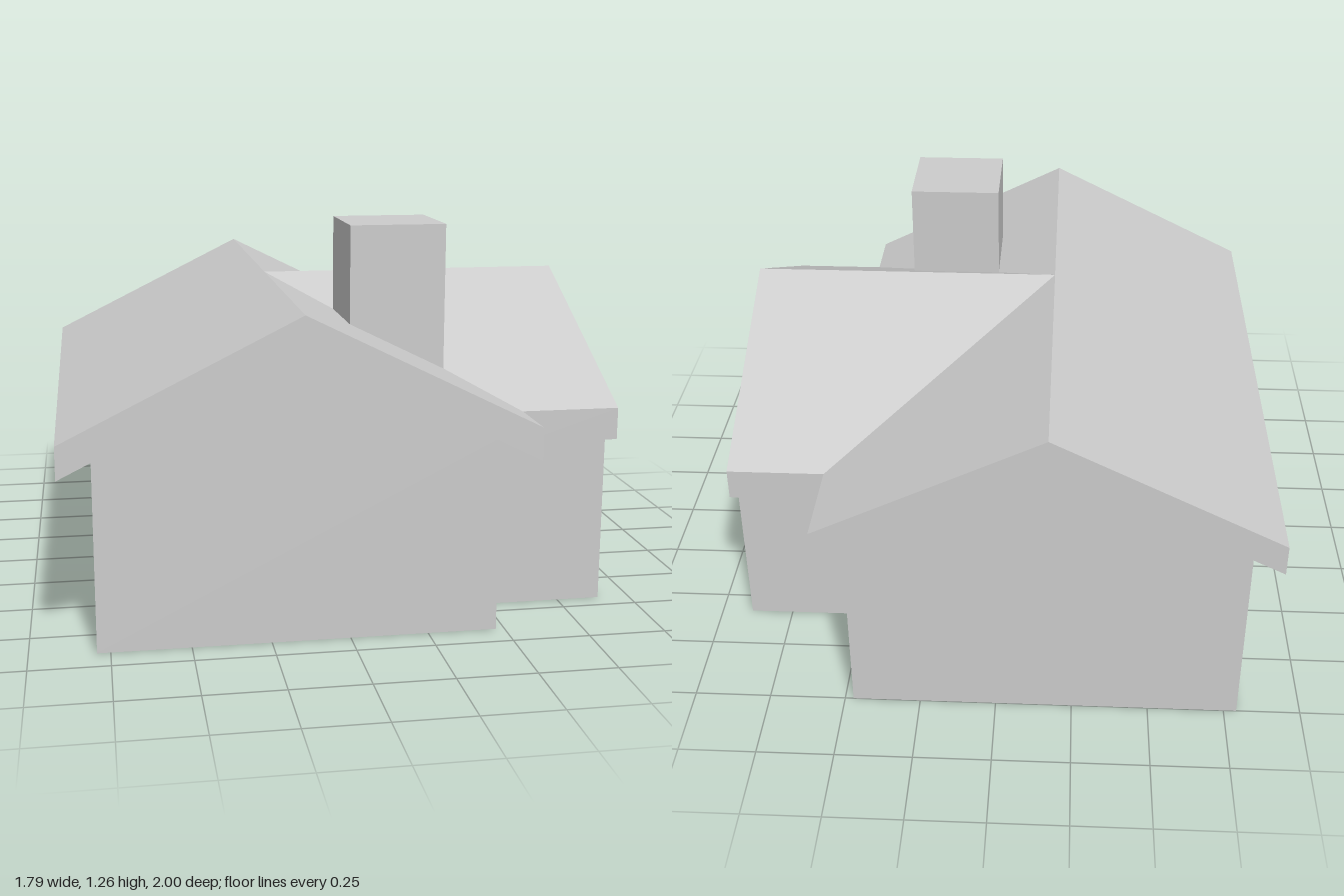
import * as THREE from 'three';

const material = new THREE.MeshStandardMaterial({ color: 0xcccccc, flatShading: true });

// Shared gable section, measured from the ridge line
const RIDGE = 1.05, EAVE = 0.685, THICK = 0.104, HALF = 0.735, WALL_HALF = 0.632;
const UNDER = RIDGE - THICK;
const WALL_TOP = UNDER - WALL_HALF * (RIDGE - EAVE) / HALF;

// Extrude a closed profile along z from z0 to z1
function prism(name, points, z0, z1) {
  const shape = new THREE.Shape(points.map(([x, y]) => new THREE.Vector2(x, y)));
  const geometry = new THREE.ExtrudeGeometry(shape, { depth: z1 - z0, bevelEnabled: false });
  geometry.translate(0, 0, z0);
  const mesh = new THREE.Mesh(geometry, material);
  mesh.name = name;
  return mesh;
}

const walls = (name, z0, z1) => prism(name, [
  [-WALL_HALF, 0], [WALL_HALF, 0], [WALL_HALF, WALL_TOP], [0, UNDER], [-WALL_HALF, WALL_TOP],
], z0, z1);

const roof = (name, z0, z1) => prism(name, [
  [-HALF, EAVE - THICK], [0, UNDER], [HALF, EAVE - THICK], [HALF, EAVE], [0, RIDGE], [-HALF, EAVE],
], z0, z1);

export function createModel() {
  const house = new THREE.Group();
  house.name = 'house';

  // Main block: ridge runs front to back, roof overhangs the front wall
  const main = new THREE.Group();
  main.name = 'mainBlock';
  main.position.x = -0.16;
  main.add(walls('mainWalls', -1, 0.9), roof('mainRoof', -1, 1));
  house.add(main);

  // Side wing: same section turned toward +x, flush gable end
  const wing = new THREE.Group();
  wing.name = 'sideWing';
  wing.position.set(-0.16, 0, 0.05);
  wing.rotation.y = Math.PI / 2;
  const wingRoof = roof('wingRoof', 0, 1.054);
  // Mitre the inner end along the two valleys
  const p = wingRoof.geometry.attributes.position;
  for (let i = 0; i < p.count; i++) {
    if (p.getZ(i) < 0.01) p.setZ(i, Math.abs(p.getX(i)));
  }
  wingRoof.geometry.computeVertexNormals();
  wing.add(walls('wingWalls', WALL_HALF, 1.054), wingRoof);
  house.add(wing);

  // Chimney standing in the front valley
  const chimney = new THREE.Mesh(new THREE.BoxGeometry(0.314, 0.565, 0.316), material);
  chimney.name = 'chimney';
  chimney.position.set(0.208, 0.9825, 0.42);
  house.add(chimney);

  return house;
}
